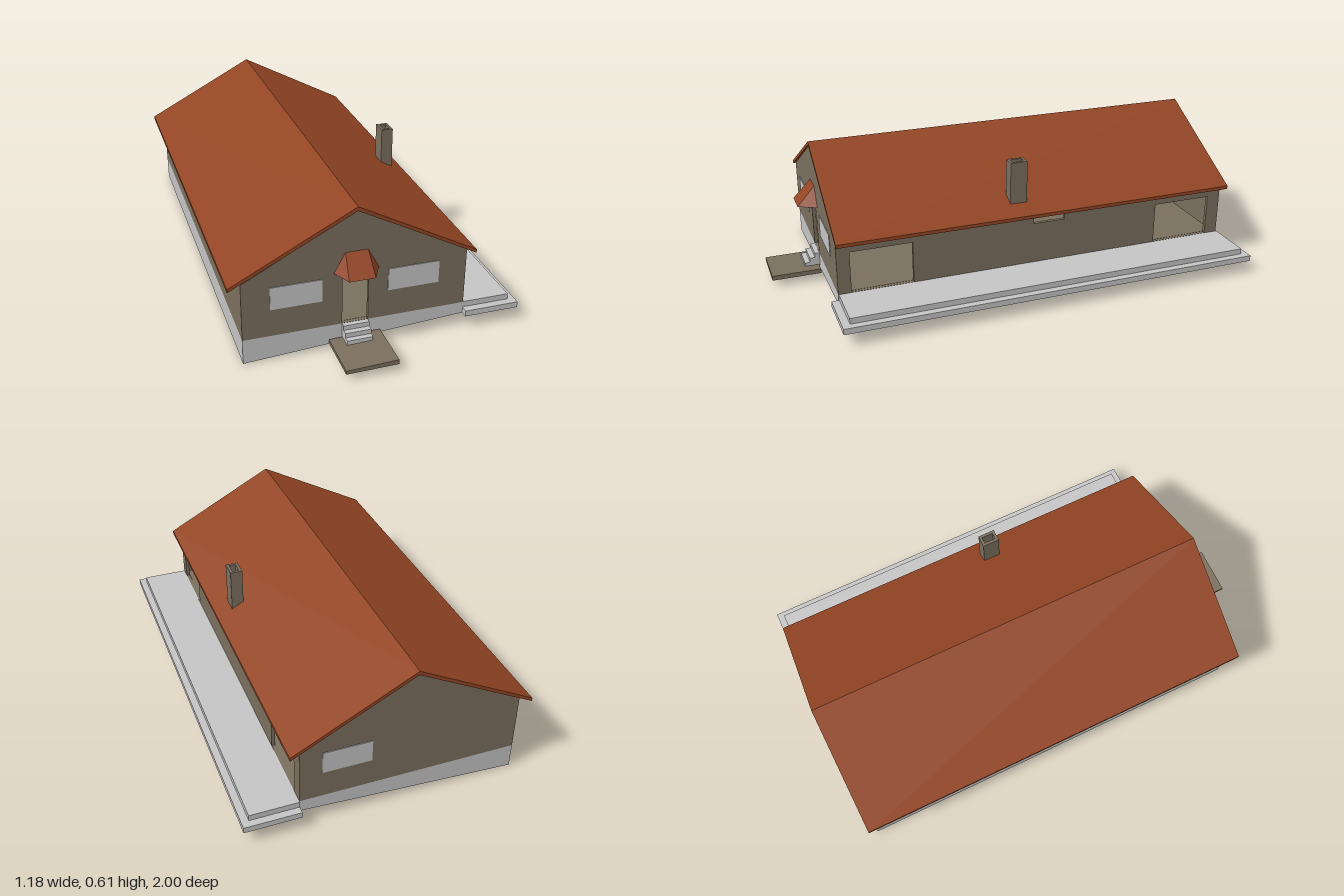
import * as THREE from 'three';

const mat = (name, color) => {
  const m = new THREE.MeshStandardMaterial({ color, side: THREE.DoubleSide });
  m.name = name;
  return m;
};

export function createModel() {
  const house = new THREE.Group();
  house.name = 'house';
  const brown = mat('brown plaster', 0x7a6f5e);
  const grey = mat('light grey concrete', 0xc4c4c4);
  const rust = mat('rust roof', 0x934524);

  const add = (name, geo, material) => {
    const m = new THREE.Mesh(geo, material);
    m.name = name;
    house.add(m);
    return m;
  };
  // Box given by its limits on each axis
  const box = (name, material, x0, x1, y0, y1, z0, z1) =>
    add(name, new THREE.BoxGeometry(x1 - x0, y1 - y0, z1 - z0)
      .translate((x0 + x1) / 2, (y0 + y1) / 2, (z0 + z1) / 2), material);
  const pts = (list) => list.map(([x, y]) => new THREE.Vector2(x, y));
  // Outline with rectangular holes [x0, x1, y0, y1], extruded along z
  const slab = (outline, holes, depth) => {
    const shape = new THREE.Shape(pts(outline));
    for (const [a, b, c, d] of holes) {
      shape.holes.push(new THREE.Path(pts([[a, c], [a, d], [b, d], [b, c]])));
    }
    return new THREE.ExtrudeGeometry(shape, { depth, bevelEnabled: false });
  };

  const L = -0.545, R = 0.36, F = 0.785, B = -0.965, MID = -0.095;
  const BASE = 0.105, EAVE = 0.348, T = 0.015;

  // Foundation with a sloping underside, and the floor on it
  add('foundation', slab([[L, 0], [R, 0.055], [R, BASE], [L, BASE]], [], F - B)
    .translate(0, 0, B), grey);
  box('floor', brown, L + T, R - T, BASE, BASE + 0.002, B + T, F - T);

  // Gable walls; the front one has the door opening
  const gable = [[L, BASE], [R, BASE], [R, EAVE], [MID, 0.588], [L, EAVE]];
  add('frontWall', slab(gable, [[-0.15, -0.045, BASE + 0.001, 0.305]], T)
    .translate(0, 0, F - T), brown);
  add('backWall', slab(gable, [], T).translate(0, 0, B), brown);

  // Side walls, drawn along -z; the terrace side has two doorways and a vent
  const side = [[-F + T, BASE], [-B - T, BASE], [-B - T, EAVE], [-F + T, EAVE]];
  const openings = [[-0.73, -0.47, BASE + 0.001, 0.285], [0.64, 0.905, BASE + 0.001, 0.285],
    [0.06, 0.2, 0.285, 0.34]];
  add('leftWall', slab(side, openings, T).rotateY(Math.PI / 2).translate(R - T, 0, 0), brown);
  add('rightWall', slab(side, [], T).rotateY(Math.PI / 2).translate(L, 0, 0), brown);

  // Windows as thin plates
  const W0 = 0.222, W1 = 0.318, P = 0.003;
  for (const [a, b] of [[-0.435, -0.23], [0.035, 0.245]]) {
    box('frontWindow', grey, a, b, W0, W1, F - P, F + P);
  }
  box('backWindow', grey, 0.07, 0.27, W0, W1, B - P, B + P);
  for (const [a, b] of [[-0.8, -0.59], [-0.27, -0.06], [0.255, 0.465]]) {
    box('sideWindow', grey, L - P, L + P, W0, W1, a, b);
  }

  // Gabled roof with overhanging eaves
  add('roof', slab([[-0.595, 0.328], [MID, 0.588], [0.4, 0.328], [0.4, 0.343],
    [MID, 0.605], [-0.595, 0.343]], [], 1.767).translate(0, 0, -0.977), rust);

  // Hollow chimney
  add('chimney', slab([[0.282, -0.037], [0.334, -0.037], [0.334, 0.037], [0.282, 0.037]],
    [[0.294, 0.322, -0.025, 0.025]], 0.19).rotateX(-Math.PI / 2).translate(0, 0.37, 0), brown);

  // Hipped canopy over the door: three slopes and an underside
  const a = [-0.14, 0.418, F], b = [-0.05, 0.418, F];
  const c = [-0.185, 0.335, F], d = [-0.15, 0.335, 0.862];
  const e = [-0.045, 0.335, 0.862], f = [-0.005, 0.335, F];
  const canopy = new THREE.BufferGeometry();
  canopy.setAttribute('position', new THREE.Float32BufferAttribute(
    [a, c, d, a, d, e, a, e, b, b, e, f, c, f, e, c, e, d].flat(), 3));
  canopy.computeVertexNormals();
  add('canopy', canopy, rust);

  // Terrace in two levels
  box('terraceLower', grey, R, 0.59, 0.055, 0.08, -1, 0.815);
  box('terraceUpper', grey, R, 0.56, 0.08, BASE, -0.97, 0.783);

  // Door steps and the path slab
  [[0.085, BASE, 0.805], [0.065, 0.085, 0.828], [0.045, 0.065, 0.85]].forEach(([y0, y1, z]) =>
    box('doorStep', grey, -0.15, -0.045, y0, y1, F, z));
  add('pathSlab', slab([[-0.205, 0.029], [0.005, 0.031], [0.005, 0.051], [-0.205, 0.044]], [], 0.21)
    .translate(0, 0, 0.79), brown);

  return house;
}
